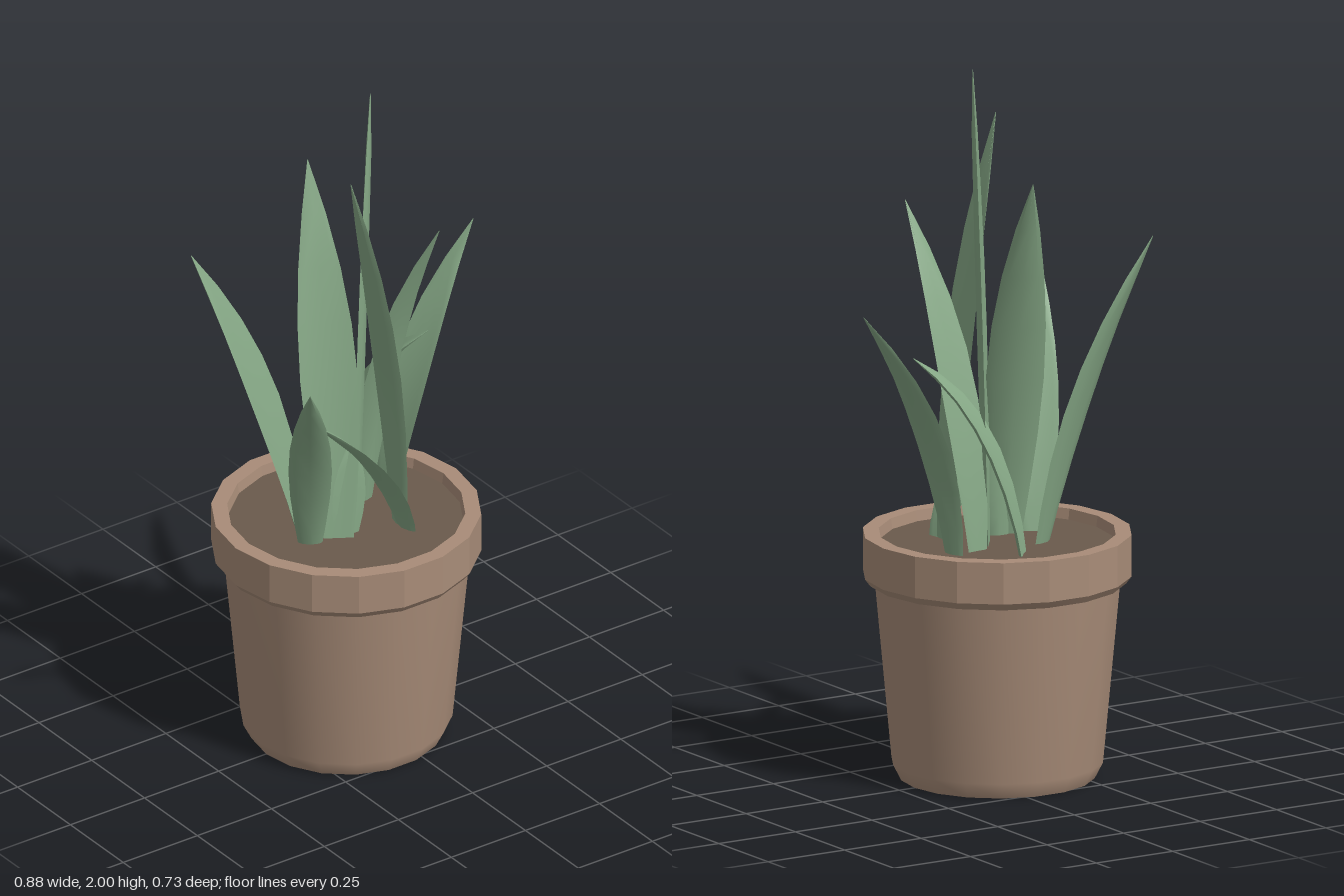
import * as THREE from 'three';
import { toCreasedNormals } from 'three/addons/utils/BufferGeometryUtils.js';

const CX = -0.07;      // pot axis
const SOIL_Y = 0.66;

const clay = new THREE.MeshStandardMaterial({ color: 0xa88c78, side: THREE.DoubleSide });
const earth = new THREE.MeshStandardMaterial({ color: 0x6a5a4c });
const green = new THREE.MeshStandardMaterial({ color: 0x86a886, side: THREE.DoubleSide });

// Eighteen-sided turned part around the pot axis
function turned(name, profile, material) {
  const points = profile.map(([r, y]) => new THREE.Vector2(r, y));
  const mesh = new THREE.Mesh(new THREE.LatheGeometry(points, 18, Math.PI / 2), material);
  mesh.name = name;
  mesh.position.x = CX;
  return mesh;
}

// Thin cupped blade swept along a curve from the soil to its tip
function leaf({ base, tip, width, bend = 0.25, rise = 0.56, across }) {
  const a = new THREE.Vector3(base[0], 0.61, base[1]);
  const c = new THREE.Vector3(...tip);
  const b = a.clone().lerp(c, bend);
  b.y = a.y + (c.y - a.y) * rise;
  const path = new THREE.QuadraticBezierCurve3(a, b, c);
  const side = across
    ? new THREE.Vector3(across[0], 0, across[1]).normalize()
    : new THREE.Vector3(c.z - a.z, 0, a.x - c.x).normalize();

  const rows = 7, ring = 8, pos = [], index = [];
  for (let i = 0; i <= rows; i++) {
    const t = i / rows;
    const p = path.getPoint(t);
    const normal = path.getTangent(t).cross(side).normalize();
    if (normal.y < 0) normal.negate();
    // narrow foot, widest below the middle, pointed tip
    const spread = t < 0.45
      ? 0.45 + 0.55 * Math.sin((t / 0.45) * Math.PI / 2)
      : 1 - Math.pow((t - 0.45) / 0.55, 1.8);
    const half = Math.max(width * spread / 2, 0.001);
    const thick = Math.min(0.007, half);
    for (let j = 0; j < ring; j++) {
      const angle = (j / ring) * Math.PI * 2;
      const u = Math.cos(angle);
      const q = p.clone().addScaledVector(side, u * half)
        .addScaledVector(normal, (u * u - 0.5) * half * 0.2 + Math.sin(angle) * thick);
      pos.push(q.x, q.y, q.z);
      if (i < rows) {
        const k = i * ring + j, k2 = i * ring + (j + 1) % ring;
        index.push(k, k2, k + ring, k2, k2 + ring, k + ring);
      }
    }
  }
  const geometry = new THREE.BufferGeometry();
  geometry.setAttribute('position', new THREE.Float32BufferAttribute(pos, 3));
  geometry.setIndex(index);
  const mesh = new THREE.Mesh(toCreasedNormals(geometry, 0.8), green);
  mesh.name = 'leaf';
  return mesh;
}

export function createModel() {
  const model = new THREE.Group();
  model.name = 'pottedPlant';

  // Pot: tapered open-bottomed body, collar with a bevelled lower edge, soil inside
  model.add(turned('potBody', [[0.27, 0], [0.293, 0.045], [0.341, 0.56]], clay));
  const rim = turned('potRim',
    [[0.338, 0.553], [0.357, 0.553], [0.372, 0.573], [0.372, 0.69],
      [0.328, 0.69], [0.322, 0.65]], clay);
  rim.geometry = toCreasedNormals(rim.geometry, 0.3);
  model.add(rim);
  model.add(turned('soil', [[0.325, SOIL_Y], [0, SOIL_Y]], earth));

  // Foliage: base is x, z on the soil; tip is x, y, z; across is the blade's width direction
  const leaves = new THREE.Group();
  leaves.name = 'leaves';
  [
    { base: [-0.04, 0.0], tip: [-0.003, 2.0, 0.02], width: 0.15, bend: 0.4, across: [0.6, -0.8] },
    { base: [0.04, 0.1], tip: [-0.165, 1.83, 0.155], width: 0.14, across: [0.03, -1] },
    { base: [-0.15, 0.08], tip: [-0.065, 1.71, -0.19], width: 0.16, bend: 0.3, across: [0.85, 0.5] },
    { base: [0.03, -0.06], tip: [0.105, 1.61, 0.195], width: 0.12, bend: 0.14, across: [1, -0.1] },
    { base: [-0.17, -0.06], tip: [-0.44, 1.52, -0.215], width: 0.15, bend: 0.32, across: [0.85, -0.5] },
    { base: [-0.22, 0.04], tip: [-0.43, 1.33, 0.335], width: 0.12, bend: 0.28 },
    { base: [0.1, -0.05], tip: [0.44, 1.385, -0.115], width: 0.13, bend: 0.13 },
    { base: [-0.06, -0.16], tip: [0.172, 1.2, 0.05], width: 0.14, bend: 0.2, rise: 0.75 },
    { base: [0.05, 0.13], tip: [-0.295, 1.11, 0.16], width: 0.13, bend: 0.2 },
    { base: [-0.12, 0.07], tip: [-0.085, 0.95, 0.05], width: 0.1, across: [1, 0.2] },
  ].forEach((spec) => leaves.add(leaf(spec)));
  model.add(leaves);
  return model;
}
